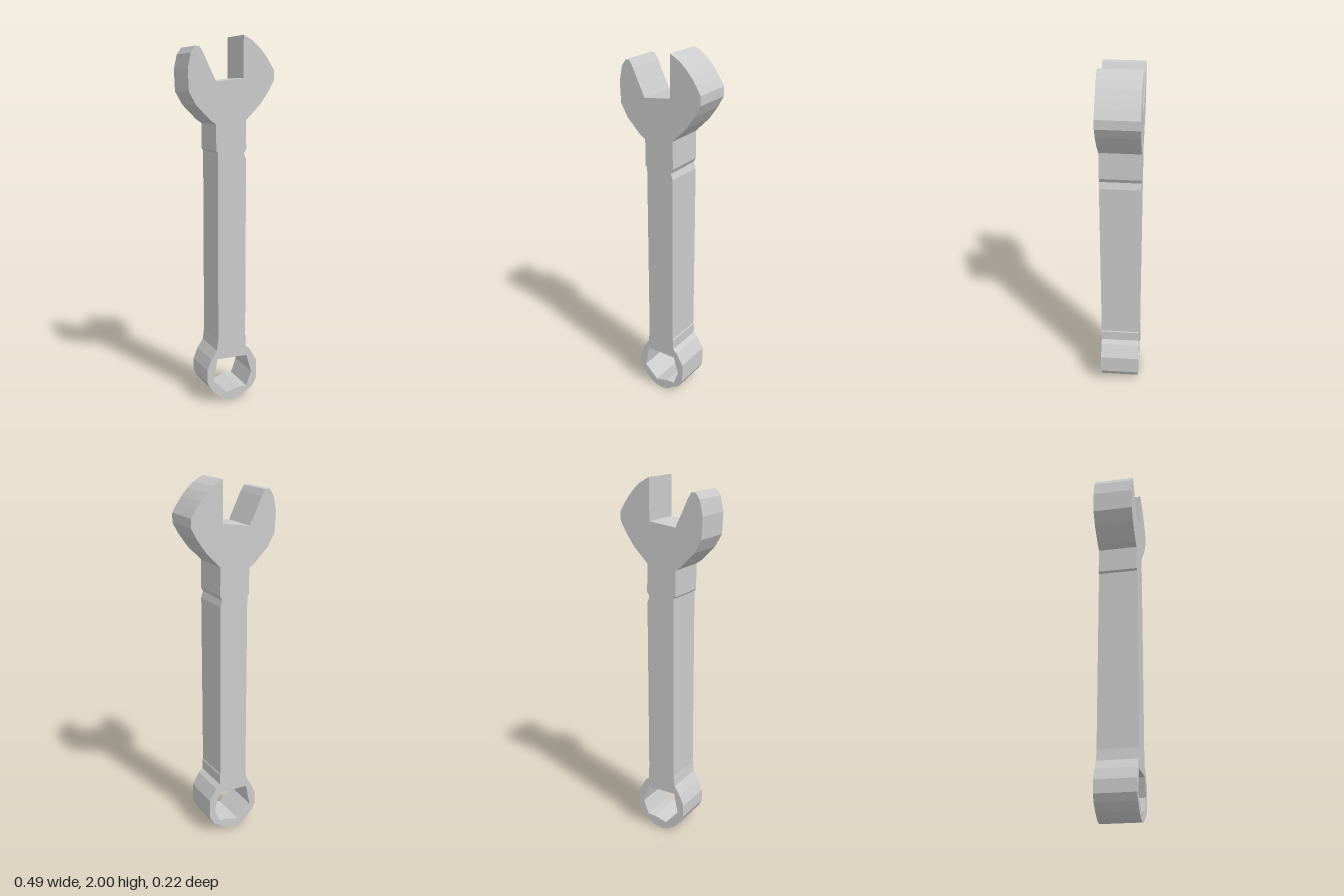
import * as THREE from 'three';

const THICKNESS = 0.22;
const toPoints = (pairs) => pairs.map(([x, y]) => new THREE.Vector2(x, y));

// Outline sections, running clockwise from the tip of the left jaw
const leftJaw = [
  [0.065, 2], [0.085, 1.99], [0.12, 1.97], [0.155, 1.94], [0.19, 1.9], [0.217, 1.862],
  [0.243, 1.82], [0.243, 1.77], [0.21, 1.71], [0.16, 1.64], [0.08, 1.56],
];
const leftShaftEdge = [
  [0.083, 1.41], [0.07, 1.385], [0.082, 1.35], [0.082, 0.37], [0.086, 0.365], [0.086, 0.305],
];
const ringEdge = [
  [0.11, 0.285], [0.15, 0.215], [0.15, 0.105], [0.125, 0.06], [0.08, 0.035],
  [0.045, 0.01], [0, 0], [-0.045, 0.012], [-0.085, 0.038], [-0.125, 0.08],
  [-0.145, 0.12], [-0.145, 0.19], [-0.12, 0.25], [-0.088, 0.3],
];
const rightShaftEdge = [[-0.08, 0.36], [-0.08, 1.39], [-0.09, 1.4], [-0.09, 1.54]];
const rightJaw = [
  [-0.12, 1.56], [-0.2, 1.64], [-0.24, 1.71], [-0.245, 1.825], [-0.228, 1.905],
  [-0.203, 1.94], [-0.18, 1.937], [-0.16, 1.905],
];
const jawSlotFloor = [[-0.09, 1.76], [0.065, 1.78]];

// Irregular opening through the ring end, running against the outline so its walls face inward
const ringOpening = [
  [-0.11, 0.125], [-0.03, 0.048], [0.045, 0.068], [0.09, 0.07],
  [0.12, 0.15], [0.09, 0.25], [-0.085, 0.25],
];

export function createModel() {
  const group = new THREE.Group();
  group.name = 'wrench';

  // One solid slab: open jaw, shaft and ring share a continuous outline
  const shape = new THREE.Shape(toPoints([
    ...leftJaw, ...leftShaftEdge, ...ringEdge, ...rightShaftEdge, ...rightJaw, ...jawSlotFloor,
  ]));
  shape.holes.push(new THREE.Path(toPoints(ringOpening)));

  const geometry = new THREE.ExtrudeGeometry(shape, { depth: THICKNESS, bevelEnabled: false });
  geometry.translate(0, 0, -THICKNESS / 2);

  const body = new THREE.Mesh(
    geometry,
    new THREE.MeshStandardMaterial({ color: 0xcccccc, flatShading: true }),
  );
  body.name = 'wrenchBody';
  group.add(body);
  return group;
}
